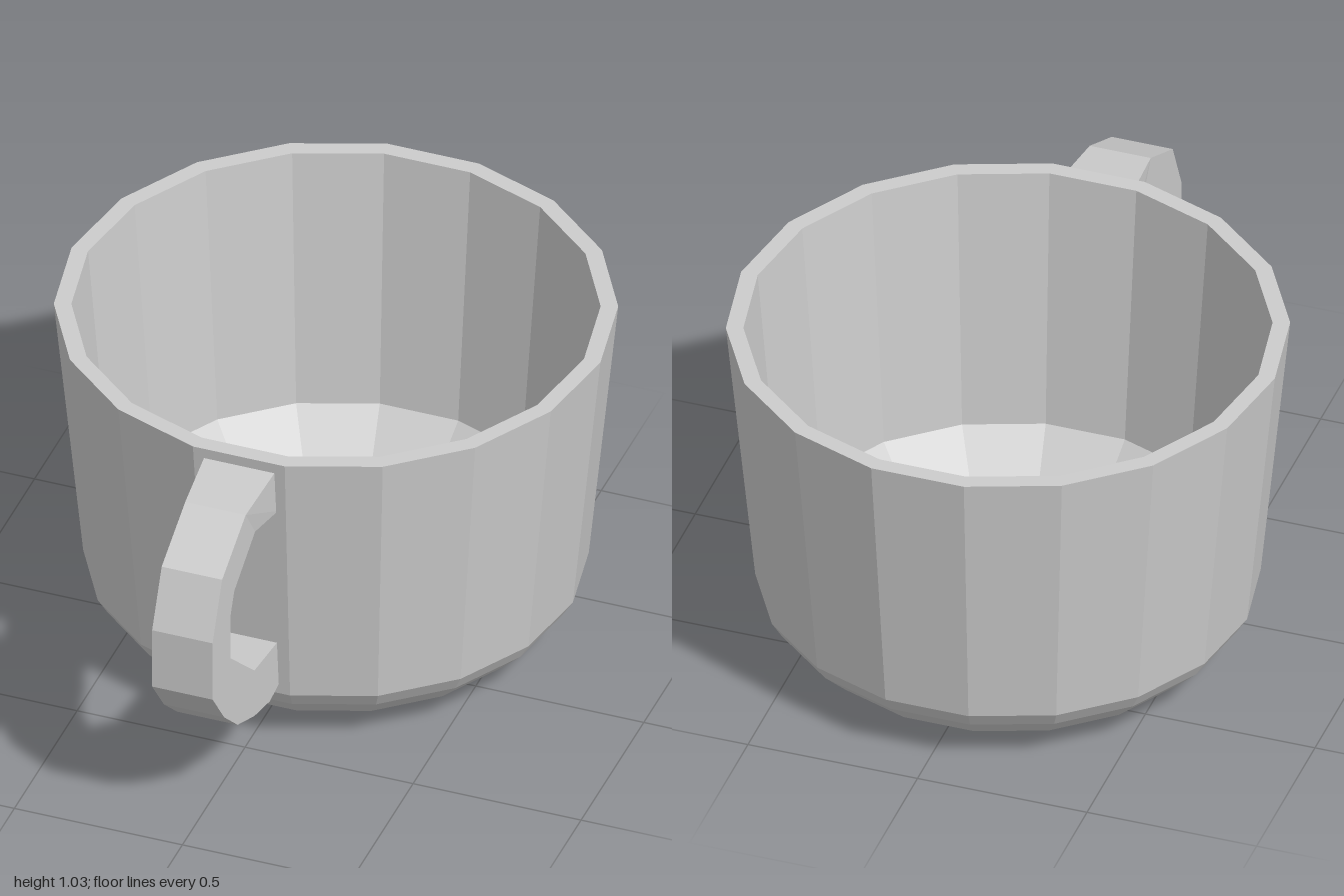
import * as THREE from 'three';

const material = new THREE.MeshStandardMaterial({ color: 0xcccccc, flatShading: true });
const points = (list) => list.map(([a, b]) => new THREE.Vector2(a, b));

// Hollow 18-sided body: outside from the base up, over the rim, down to the inner floor
function makeBody() {
  const profile = points([
    [0, 0], [0.47, 0], [0.6, 0.062], [0.675, 0.137], [0.705, 0.187], [0.787, 1.03],
    [0.738, 1.03], [0.672, 0.22], [0.527, 0.08], [0, 0.08],
  ]);
  const body = new THREE.Mesh(new THREE.LatheGeometry(profile, 18, Math.PI / 2), material);
  body.position.z = -0.225;
  body.name = 'cupBody';
  return body;
}

// Faceted loop drawn as (z, y) and extruded across x
function makeHandle() {
  const halfWidth = 0.09;
  const outline = points([
    // outer edge, top to bottom
    [0.53, 0.998], [0.736, 0.976], [0.924, 0.88], [1, 0.713], [1, 0.52],
    [0.907, 0.397], [0.8, 0.3], [0.667, 0.241], [0.543, 0.209], [0.46, 0.222],
    // inner edge, bottom to top
    [0.46, 0.368], [0.667, 0.397], [0.859, 0.568], [0.859, 0.708],
    [0.827, 0.777], [0.661, 0.869], [0.52, 0.85],
  ]);
  const geometry = new THREE.ExtrudeGeometry(new THREE.Shape(outline), {
    depth: halfWidth * 2, bevelEnabled: false,
  });
  geometry.translate(0, 0, -halfWidth).rotateY(-Math.PI / 2);

  // Flare the upper end where it meets the wall
  const position = geometry.attributes.position;
  for (let i = 0; i < position.count; i++) {
    if (position.getY(i) > 0.8 && position.getZ(i) < 0.6) {
      position.setX(i, Math.sign(position.getX(i)) * 0.106);
    }
  }
  geometry.computeVertexNormals();
  const handle = new THREE.Mesh(geometry, material);
  handle.name = 'handle';
  return handle;
}

export function createModel() {
  const cup = new THREE.Group();
  cup.name = 'cup';
  cup.add(makeBody(), makeHandle());
  return cup;
}
